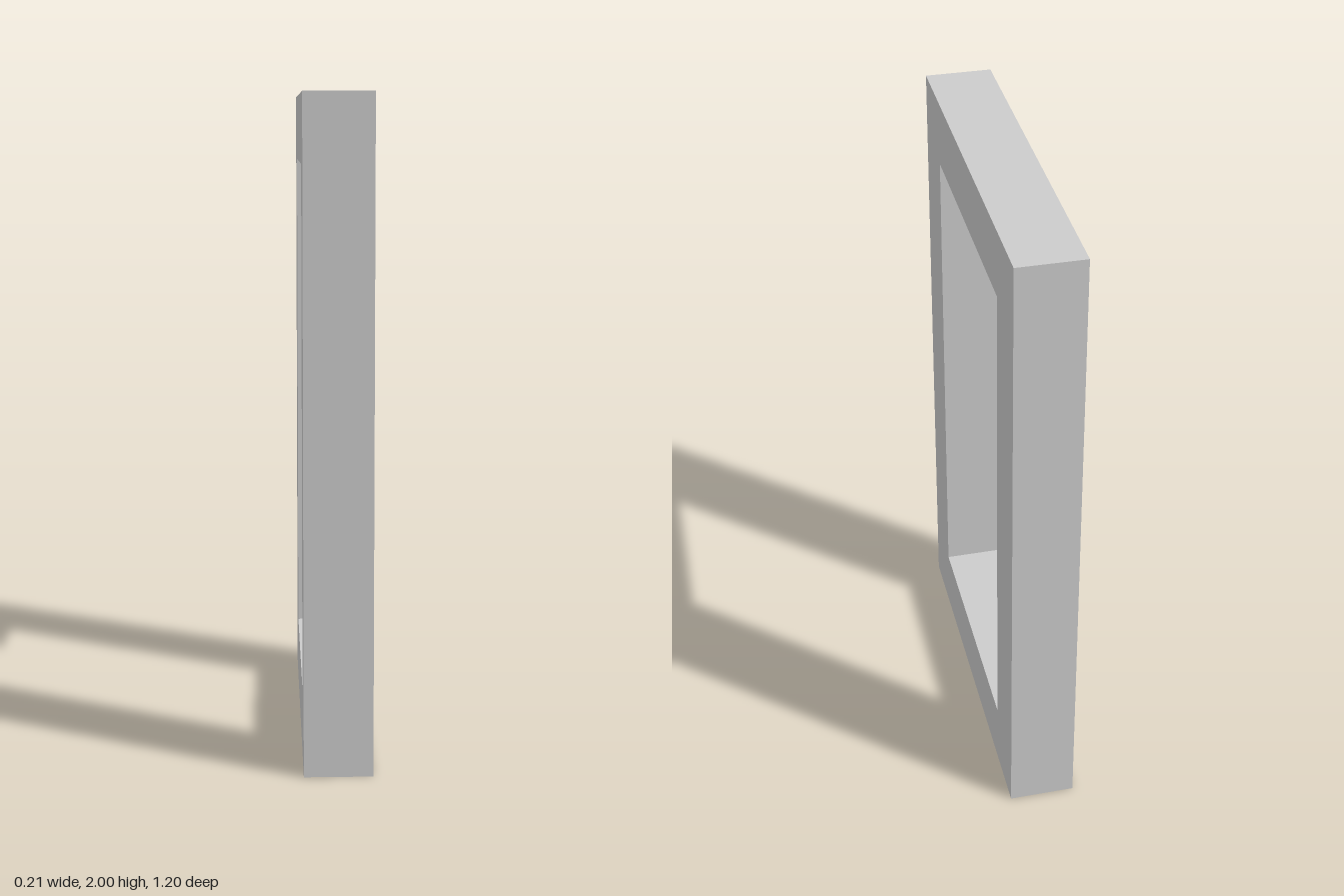
import * as THREE from 'three';

const HEIGHT = 2, DEPTH = 1.2, THICKNESS = 0.206;
const HOLE_BOTTOM = 0.208, HOLE_TOP = 1.794, HOLE_DEPTH = 0.8;

// Closed rectangle, centred sideways, between two heights
function rectangle(path, width, bottom, top) {
  const w = width / 2;
  path.moveTo(-w, bottom);
  path.lineTo(w, bottom);
  path.lineTo(w, top);
  path.lineTo(-w, top);
  path.closePath();
  return path;
}

export function createModel() {
  const model = new THREE.Group();
  model.name = 'rectangularFrame';

  // Upright frame with a rectangular opening
  const outline = rectangle(new THREE.Shape(), DEPTH, 0, HEIGHT);
  outline.holes.push(rectangle(new THREE.Path(), HOLE_DEPTH, HOLE_BOTTOM, HOLE_TOP));
  const geometry = new THREE.ExtrudeGeometry(outline, { depth: THICKNESS, bevelEnabled: false });

  // Centre the thickness, then turn the opening to face sideways
  geometry.translate(0, 0, -THICKNESS / 2);
  geometry.rotateY(Math.PI / 2);

  const frame = new THREE.Mesh(
    geometry,
    new THREE.MeshStandardMaterial({ color: 0xcccccc, flatShading: true })
  );
  frame.name = 'frame';
  model.add(frame);
  return model;
}
